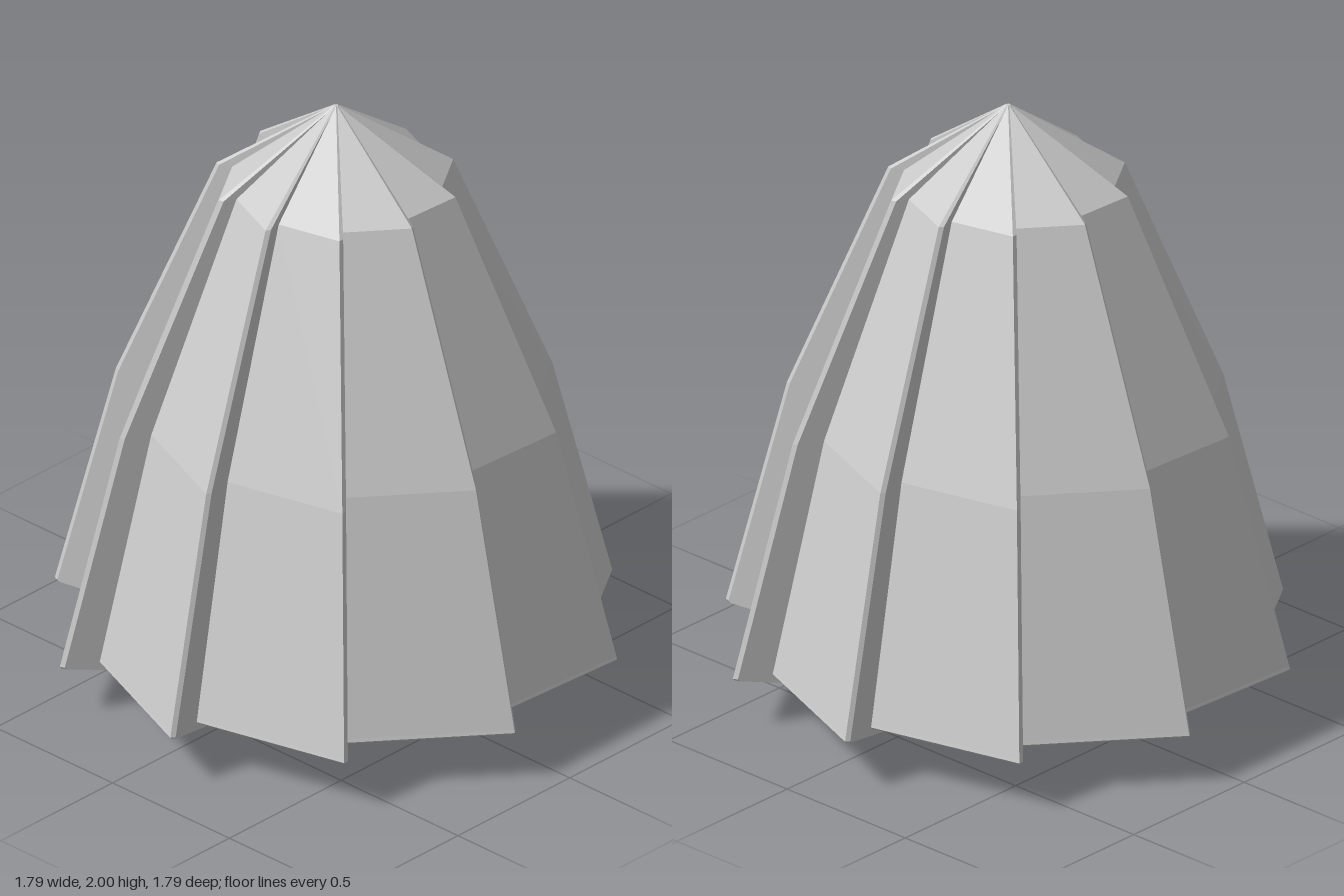
import * as THREE from 'three';

const TEETH = 10;
const STEP = (Math.PI * 2) / TEETH;
const START = THREE.MathUtils.degToRad(-9.3);
const INNER = 0.86; // valley radius relative to tip radius

// Profile of the tooth tips: [radius, height]
const PROFILE = [
  [0.075, 0], [0.9, 0.168], [0.907, 0.175], [0.904, 0.185],
  [0.71, 0.95], [0.385, 1.735], [0.015, 1.995], [0.008, 2],
];

// One ratchet-shaped ring: valley, chamfer and tip for every tooth
function ring(radius, y) {
  const bevel = Math.min(0.012, radius * 0.3);
  const points = [];
  for (let i = 0; i < TEETH; i++) {
    const a = START + i * STEP;
    const c = Math.cos(a), s = Math.sin(a);
    for (const [r, o] of [[radius * INNER, bevel], [radius - bevel, bevel], [radius, 0]]) {
      points.push(r * c + o * s, y, r * s - o * c);
    }
  }
  return points;
}

// Stack the rings into a closed shell
function ratchetBody() {
  const n = TEETH * 3;
  const position = PROFILE.flatMap(([r, y]) => ring(r, y));
  const index = [];
  const last = PROFILE.length - 1;
  for (let k = 0; k < last; k++) {
    for (let i = 0; i < n; i++) {
      const j = (i + 1) % n;
      const a = k * n + i, b = k * n + j, c = b + n, d = a + n;
      index.push(a, d, c, a, c, b);
    }
  }
  // Flat caps at the bottom and the top
  const bottom = position.length / 3, top = bottom + 1;
  position.push(0, 0, 0, 0, 2, 0);
  for (let i = 0; i < n; i++) {
    const j = (i + 1) % n;
    index.push(bottom, i, j, top, last * n + j, last * n + i);
  }
  const geometry = new THREE.BufferGeometry();
  geometry.setAttribute('position', new THREE.Float32BufferAttribute(position, 3));
  geometry.setIndex(index);
  const flat = geometry.toNonIndexed();
  flat.computeVertexNormals();
  return flat;
}

export function createModel() {
  const group = new THREE.Group();
  group.name = 'pleatedCone';
  const material = new THREE.MeshStandardMaterial({ color: 0xcccccc, flatShading: true });
  const body = new THREE.Mesh(ratchetBody(), material);
  body.name = 'overlappingPanels';
  group.add(body);
  return group;
}
